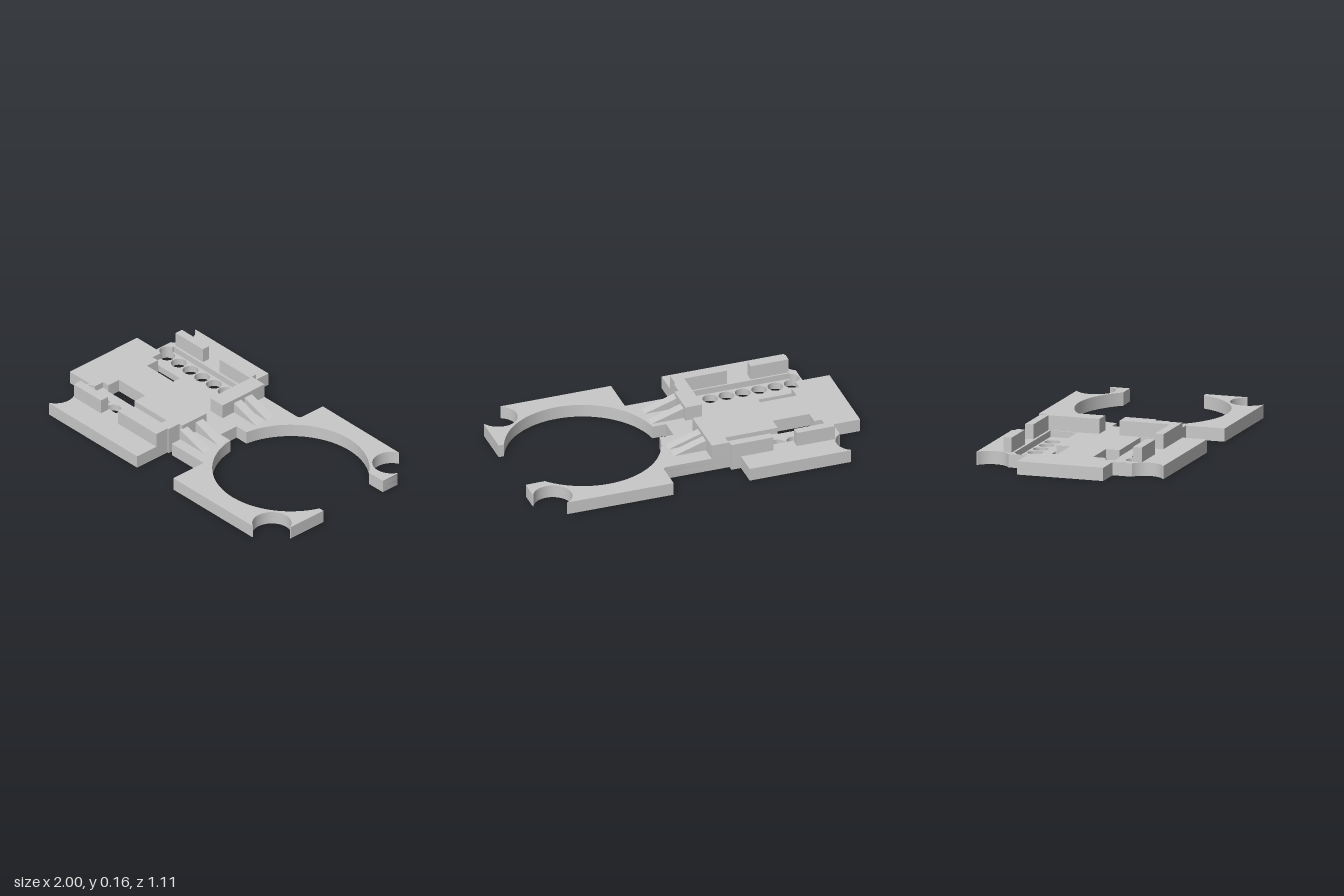
import * as THREE from 'three';
import { toCreasedNormals } from 'three/addons/utils/BufferGeometryUtils.js';

const BASE = 0.076, FLOOR = 0.04, TOP = 0.161;

// Points of an arc in the x-z plane, angles in degrees
function arc(cx, cz, r, a0, a1, n = 32) {
  const pts = [];
  for (let i = 0; i <= n; i++) {
    const a = THREE.MathUtils.degToRad(a0 + (a1 - a0) * i / n);
    pts.push([cx + r * Math.cos(a), cz + r * Math.sin(a)]);
  }
  return pts;
}

// x-z points as a counter-clockwise loop, so that hole walls face inwards
function loop(pts) {
  const v = pts.map(([x, z]) => new THREE.Vector2(x, -z));
  return THREE.ShapeUtils.isClockWise(v) ? v.reverse() : v;
}

// Extrude an x-z outline from y0 up to y1
function slab(outline, holes, y0, y1) {
  const shape = new THREE.Shape(loop(outline));
  holes.forEach(h => shape.holes.push(new THREE.Path(loop(h))));
  const g = new THREE.ExtrudeGeometry(shape, { depth: y1 - y0, bevelEnabled: false });
  g.rotateX(-Math.PI / 2);
  g.translate(0, y0, 0);
  return toCreasedNormals(g, 0.5);
}

const rect = (x0, x1, z0, z1) => [[x0, z0], [x1, z0], [x1, z1], [x0, z1]];

export function createModel() {
  const group = new THREE.Group();
  const grey = new THREE.MeshStandardMaterial({ color: 0xc8c8c8 });
  grey.name = 'plain grey';
  const add = (name, geometry) => {
    const mesh = new THREE.Mesh(geometry, grey);
    mesh.name = name;
    group.add(mesh);
  };

  // Plate outline, with the open ring and the four corner bites
  const outline = [
    [-1, -0.257], [-0.84, -0.257],
    ...arc(-0.895, -0.458, 0.107, 59, -59),
    [-0.84, -0.555], [-0.237, -0.555], [-0.237, -0.41], [-0.18, -0.41], [-0.18, -0.378],
    [0.195, -0.378], [0.21, -0.384], [0.215, -0.398], [0.215, -0.555],
    ...arc(0.897, -0.455, 0.11, -117, -335),
    [1, -0.402], [1, -0.293],
    ...arc(0.557, 0, 0.44, -41.5, -172, 48),
    [0.04, -0.062], [0.04, 0.06],
    ...arc(0.557, 0, 0.44, 172.2, 21, 48),
    [1, 0.157], [1, 0.403],
    ...arc(0.897, 0.454, 0.11, -25, -243),
    [0.845, 0.555], [0.19, 0.555], [0.19, 0.325], [-0.075, 0.325], [-0.075, 0.244],
    [-0.1, 0.244], [-0.1, 0.325], [-0.11, 0.325], [-0.11, 0.555], [-0.84, 0.555],
    ...arc(-0.895, 0.458, 0.107, 59, -59),
    [-0.84, 0.253], [-1, 0.253],
  ];

  const through = [], pockets = [];
  for (const s of [-1, 1]) {
    // Six round holes and a rectangular slot on each side
    for (let i = 0; i < 6; i++) through.push(arc(-0.79 + i * 0.097, s * 0.2925, 0.044, 0, 348.75, 31));
    through.push(rect(-0.752, -0.535, s * 0.193, s * 0.106));
    // Sunken pocket around the holes, joined to the slot
    pockets.push([
      [-0.795, s * 0.3475], [-0.185, s * 0.3475], [-0.185, s * 0.1875],
      [-0.535, s * 0.1875], [-0.535, s * 0.106], [-0.752, s * 0.106], [-0.752, s * 0.1875],
      [-0.795, s * 0.1875],
      ...arc(-0.79, s * 0.2925, 0.044, s * -97, s * -263, 16),
    ]);
  }
  add('basePlate', slab(outline, through, 0, FLOOR));
  add('pocketPlate', slab(outline, pockets, FLOOR, BASE));

  // Short guide blocks near the outer end
  add('backGuide', slab(rect(-0.795, -0.57, -0.41, -0.362), [], BASE, TOP));
  add('frontGuide', slab(rect(-0.795, -0.57, 0.358, 0.41), [], BASE, TOP));

  // Corner walls with cross stops
  add('backCornerWall', slab([
    [-0.43, -0.41], [-0.18, -0.41], [-0.18, -0.378], [-0.075, -0.378],
    [-0.075, -0.06], [-0.175, -0.06], [-0.175, -0.362], [-0.43, -0.362],
  ], [], BASE, TOP));
  add('frontCornerWall', slab([
    [-0.43, 0.41], [-0.11, 0.41], [-0.11, 0.325], [-0.1, 0.325], [-0.1, 0.244],
    [-0.075, 0.244], [-0.075, 0.06], [-0.175, 0.06], [-0.175, 0.358], [-0.43, 0.358],
  ], [], BASE, TOP));

  // Sloping ribs bracing the cross stops
  const wedge = new THREE.Shape([[-0.08, BASE], [0.115, BASE], [-0.08, 0.14]]
    .map(([x, y]) => new THREE.Vector2(x, y)));
  for (const z of [-0.281, -0.2, 0.09, 0.205]) {
    const g = new THREE.ExtrudeGeometry(wedge, { depth: 0.055, bevelEnabled: false });
    g.translate(0, 0, z);
    add('rib', g);
  }
  return group;
}
